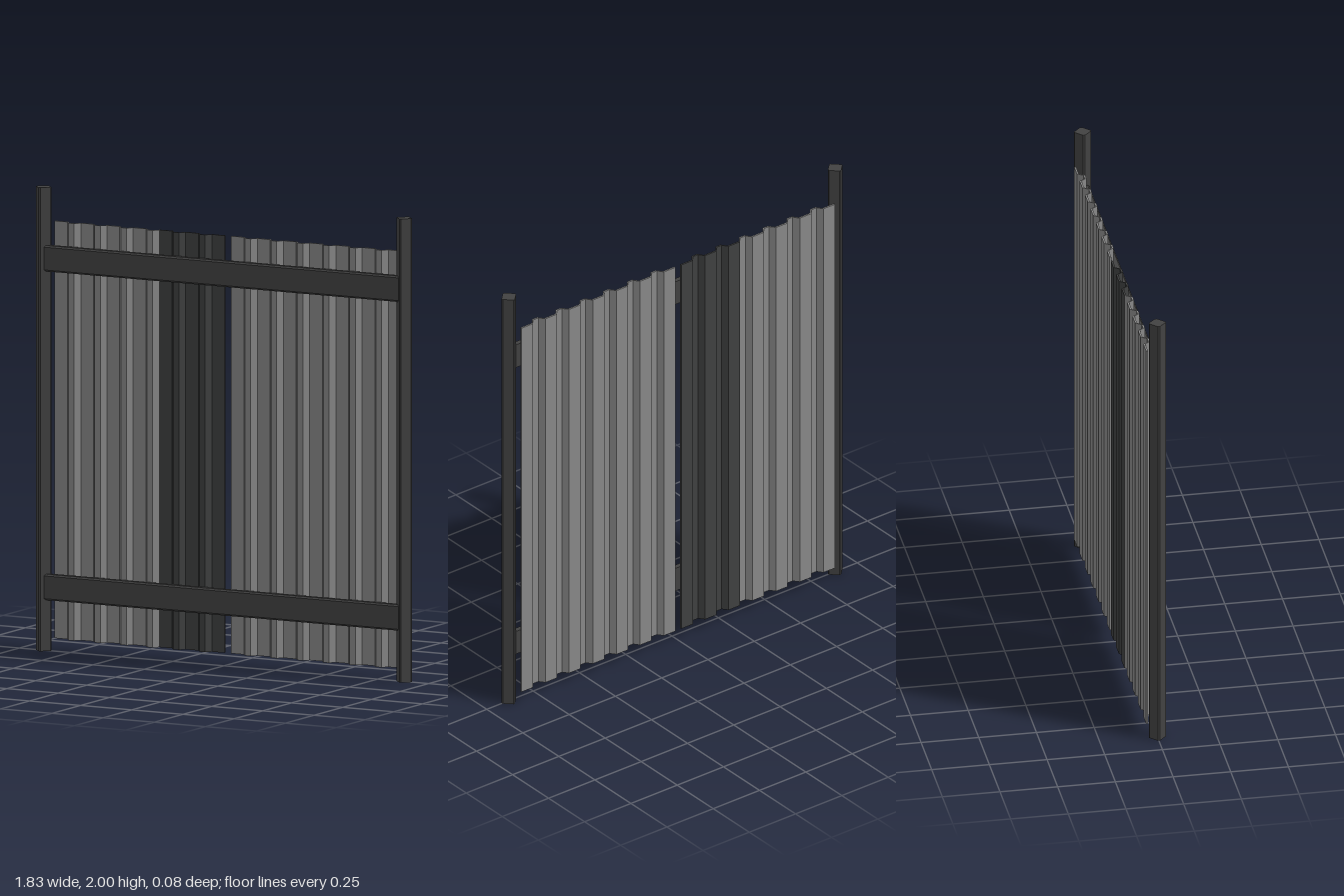
import * as THREE from 'three';

const frameMat = new THREE.MeshStandardMaterial({ name: 'dark steel frame', color: 0x424242 });
const lightMat = new THREE.MeshStandardMaterial({ name: 'grey sheet', color: 0x8a8a8a });
const darkMat = new THREE.MeshStandardMaterial({ name: 'charcoal sheet', color: 0x404141 });

// Extrudes a plan outline of [x, z] points upwards from y0 to y1
function upright(points, y0, y1, material, name) {
  const shape = new THREE.Shape(points.map(([x, z]) => new THREE.Vector2(x, -z)));
  const geo = new THREE.ExtrudeGeometry(shape, { depth: y1 - y0, bevelEnabled: false });
  geo.rotateX(-Math.PI / 2).translate(0, y0, 0);
  const mesh = new THREE.Mesh(geo, material);
  mesh.name = name;
  return mesh;
}

const FLAT = 0.062, SLOPE = 0.019, VALLEY = 0.028;
const PERIOD = FLAT + 2 * SLOPE + VALLEY;
const BACK = -0.043, FRONT = -0.018, THICK = 0.008;

// Trapezoidal corrugated sheet with the given number of back ribs
function sheet(x0, ribs, material, name, openEnd = false) {
  const line = [];
  for (let i = 0; i < ribs; i++) {
    const x = x0 + i * PERIOD;
    line.push([x, BACK], [x + FLAT, BACK]);
    if (i < ribs - 1 || openEnd) {
      line.push([x + FLAT + SLOPE, FRONT], [x + FLAT + SLOPE + VALLEY, FRONT]);
    }
  }
  if (openEnd) line.push([x0 + ribs * PERIOD, BACK]);
  const inner = line.map(([x, z]) => [x, z + THICK]).reverse();
  return upright([...line, ...inner], 0.05, 1.85, material, name);
}

// Horizontal rail with chamfered long edges
function rail(y, name) {
  const h = 0.056, c = 0.007, z0 = -0.005, z1 = 0.025;
  const outline = [[z0, -h], [z1 - c, -h], [z1, -h + c], [z1, h - c], [z1 - c, h], [z0, h]];
  const shape = new THREE.Shape(outline.map(([z, v]) => new THREE.Vector2(-z, v)));
  const geo = new THREE.ExtrudeGeometry(shape, { depth: 1.74, bevelEnabled: false });
  geo.translate(0, 0, -0.87).rotateY(Math.PI / 2);
  const mesh = new THREE.Mesh(geo, frameMat);
  mesh.position.y = y;
  mesh.name = name;
  return mesh;
}

export function createModel() {
  const group = new THREE.Group();
  group.name = 'corrugatedFencePanel';

  // Square posts turned on their corners, tips slightly blunted
  for (const [side, name] of [[-1, 'rightPost'], [1, 'leftPost']]) {
    const r = 0.036, t = 0.004;
    const plan = [[r, -t], [r, t], [t, r], [-t, r], [-r, t], [-r, -t], [-t, -r], [t, -r]];
    group.add(upright(plan.map(([x, z]) => [x + side * 0.881, z]), 0, 2, frameMat, name));
  }

  // Two cross rails
  group.add(rail(0.276, 'lowerRail'), rail(1.694, 'upperRail'));

  // Cladding: light sheet, charcoal sheet, gap, light sheet
  const start = -0.847;
  group.add(
    sheet(start, 4, lightMat, 'rightSheet', true),
    sheet(start + 4 * PERIOD, 3, darkMat, 'charcoalSheet'),
    sheet(0.015, 7, lightMat, 'leftSheet')
  );
  return group;
}
